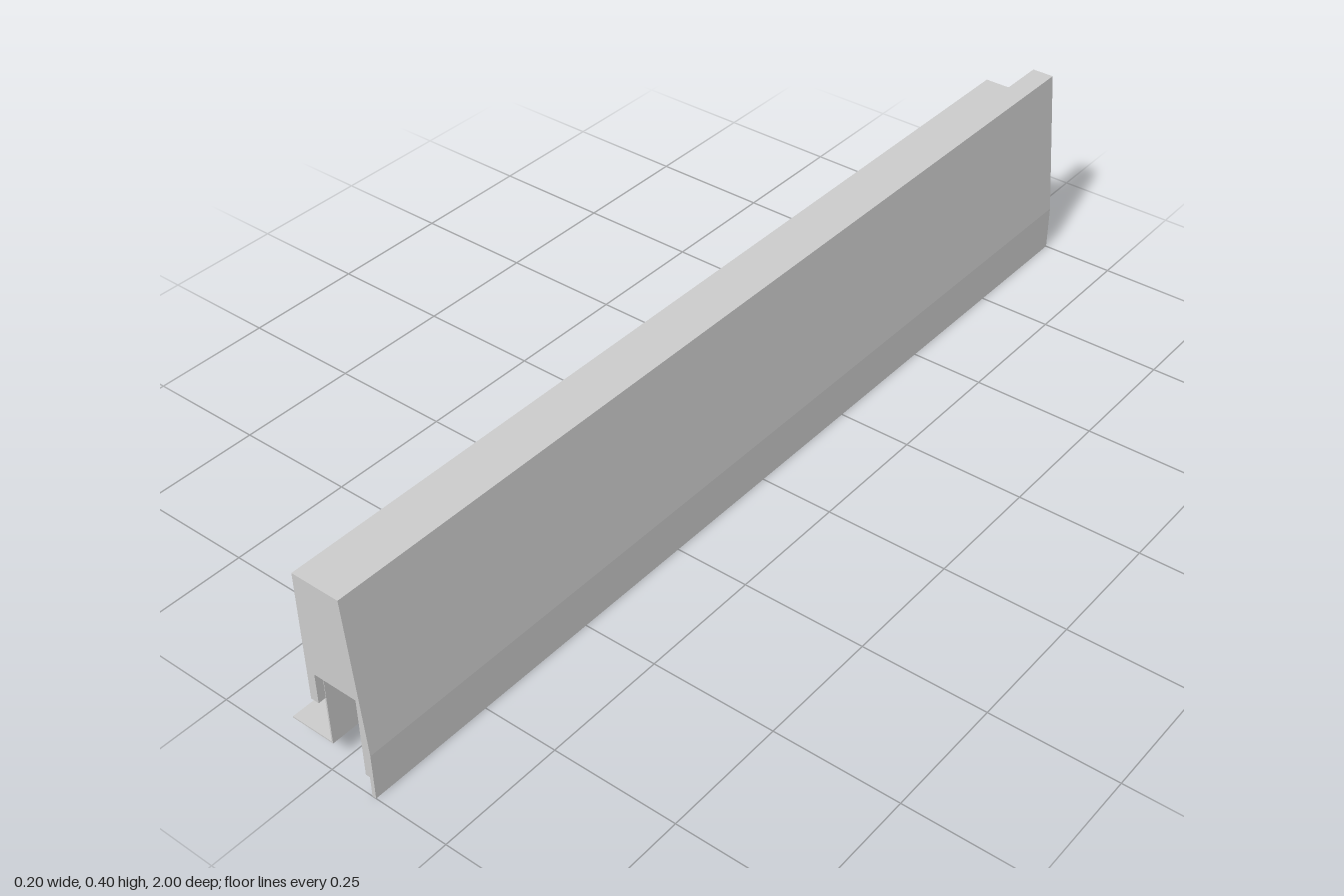
import * as THREE from 'three';

const material = new THREE.MeshStandardMaterial({ color: 0xcccccc, flatShading: true });

// Extrude an x-y outline between two z positions
function profile(name, points, z0, z1) {
  const shape = new THREE.Shape(points.map(([x, y]) => new THREE.Vector2(x, y)));
  const geometry = new THREE.ExtrudeGeometry(shape, { depth: z1 - z0, bevelEnabled: false });
  geometry.translate(0, 0, z0);
  const mesh = new THREE.Mesh(geometry, material);
  mesh.name = name;
  return mesh;
}

export function createModel() {
  const group = new THREE.Group();
  group.name = 'edgeRail';

  // Sloped outer skirt shared by the full rail and its notched back end
  const skirt = [
    [0.073, 0.404], [0.099, 0.095], [0.099, 0], [0.091, 0],
    [0.091, 0.043], [0.082, 0.043], [0.082, 0.205],
  ];
  group.add(profile('railBody', [
    [-0.025, 0.404], ...skirt, [-0.008, 0.205], [-0.008, 0.143], [-0.025, 0.143],
  ], -0.905, 1));
  group.add(profile('railNotchedEnd', [[0.027, 0.404], ...skirt, [0.027, 0.205]], -1, -0.905));

  // Bent sheet: upright web with a top lip lining the channel
  const t = 0.003, zFront = 0.985;
  group.add(profile('bracketWeb', [
    [-0.01, 0.042], [-0.007, 0.042], [-0.007, 0.205 - t],
    [0.081, 0.205 - t], [0.081, 0.205], [-0.01, 0.205],
  ], -0.935, zFront));

  // Mounting flange with three screw holes, drawn in x-z and laid flat
  const zBack = -0.88;
  const outline = new THREE.Shape([
    new THREE.Vector2(-0.099, zBack), new THREE.Vector2(-0.01, zBack),
    new THREE.Vector2(-0.01, zFront), new THREE.Vector2(-0.099, zFront),
  ]);
  for (const z of [-0.6, 0.15, 0.9]) {
    outline.holes.push(new THREE.Path().absarc(-0.065, z, 0.02, 0, Math.PI * 2, true));
  }
  const flat = new THREE.ExtrudeGeometry(outline, { depth: t, bevelEnabled: false, curveSegments: 24 });
  flat.rotateX(Math.PI / 2).translate(0, 0.042 + t, 0);
  const flange = new THREE.Mesh(flat, material);
  flange.name = 'mountingFlange';
  group.add(flange);

  return group;
}
